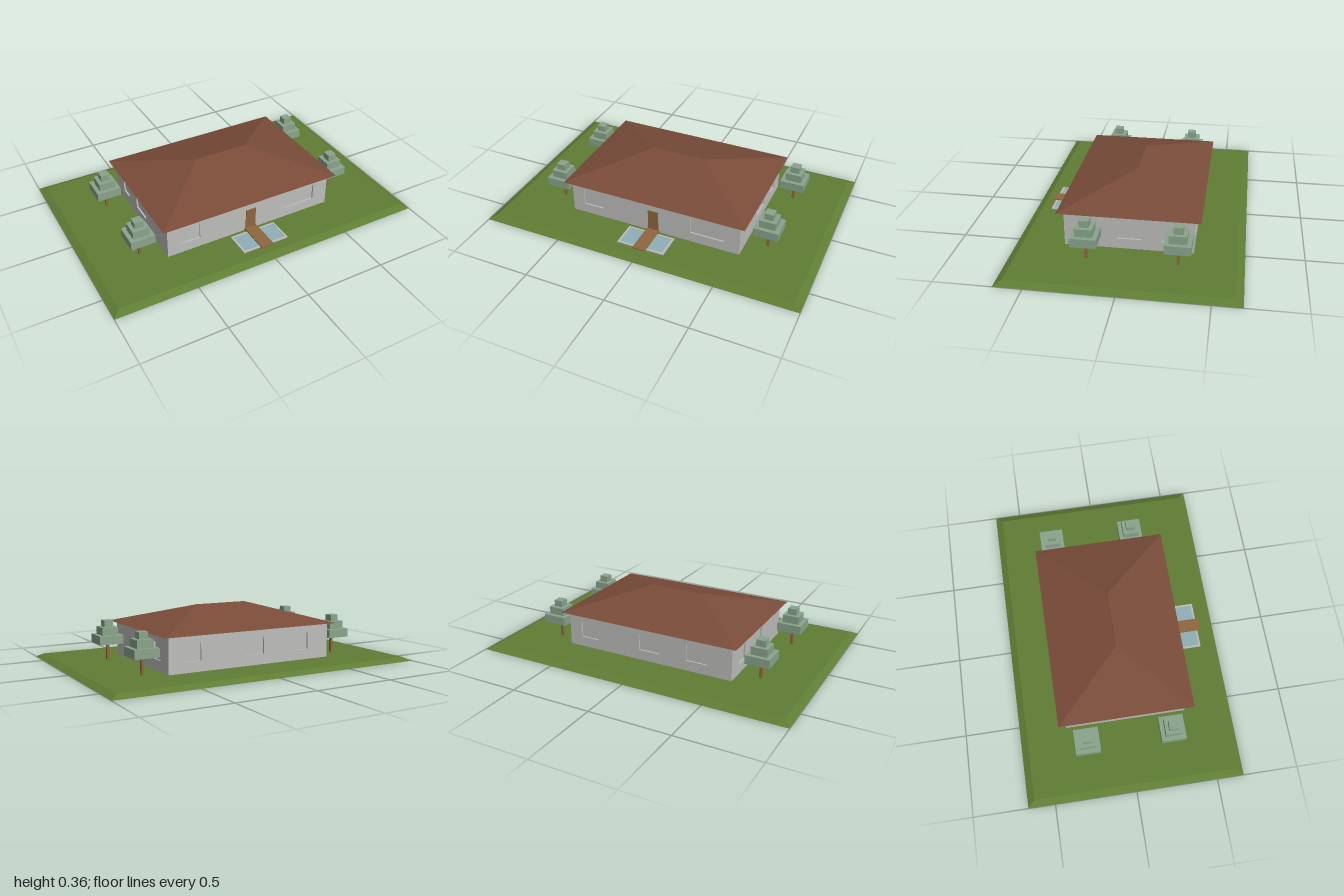
import * as THREE from 'three';

const mat = (name, color, extra = {}) => {
  const m = new THREE.MeshStandardMaterial({ color, ...extra });
  m.name = name;
  return m;
};

export function createModel() {
  const grass = mat('grass', 0x5f7d34);
  const wall = mat('wall grey', 0xbdbdbb);
  const roofTile = mat('roof brown', 0x7a4c39);
  const wood = mat('wood', 0x8f673f);
  const leaf = mat('leaf green', 0x8aa48c);
  const water = mat('water blue', 0x8fafb7);

  const model = new THREE.Group();
  model.name = 'houseAndGarden';
  const add = (name, geo, material, parent = model) => {
    const mesh = new THREE.Mesh(geo, material);
    mesh.name = name;
    parent.add(mesh);
    return mesh;
  };
  // Box given by its lower and upper corner
  const box = (name, x0, y0, z0, x1, y1, z1, material, parent) => {
    const mesh = add(name, new THREE.BoxGeometry(x1 - x0, y1 - y0, z1 - z0), material, parent);
    mesh.position.set((x0 + x1) / 2, (y0 + y1) / 2, (z0 + z1) / 2);
    return mesh;
  };
  // Box whose upper rectangle is shrunk, for bevelled lawn and hipped roof
  const taper = (bx, bz, tx, tz, y0, y1) => {
    const g = new THREE.BoxGeometry(2, 1, 2).toNonIndexed();
    const p = g.attributes.position;
    for (let i = 0; i < p.count; i++) {
      const up = p.getY(i) > 0;
      p.setXYZ(i, p.getX(i) * (up ? tx : bx), up ? y1 : y0, p.getZ(i) * (up ? tz : bz));
    }
    g.computeVertexNormals();
    // keep the box's face groups: 0 right, 1 left, 2 top, 3 bottom, 4 front, 5 back
    g.clearGroups();
    for (let f = 0; f < 6; f++) g.addGroup(f * 6, 6, f);
    return g;
  };

  // Lawn
  const G = 0.022;
  add('lawn', taper(1, 0.665, 0.957, 0.622, 0, G), Array(6).fill(grass));

  // House: solid core with wall panels that have shallow window recesses
  const house = new THREE.Group();
  house.name = 'house';
  model.add(house);
  const W = 0.55, D = 0.375, H = 0.24, T = 0.01;
  box('wallCore', -W + T, G, -D + T, W - T, H, D - T, wall, house);
  const panel = (name, half, windows, distance, angle) => {
    const s = new THREE.Shape();
    s.moveTo(-half, G).lineTo(half, G).lineTo(half, H).lineTo(-half, H).closePath();
    for (const [a, b] of windows) {
      const h = new THREE.Path();
      h.moveTo(a, 0.085).lineTo(a, 0.188).lineTo(b, 0.188).lineTo(b, 0.085).closePath();
      s.holes.push(h);
    }
    const g = new THREE.ExtrudeGeometry(s, { depth: T, bevelEnabled: false });
    g.translate(0, 0, distance - T).rotateY(angle);
    add(name, g, wall, house);
  };
  const sideD = D - T;
  panel('frontWall', W, [[-0.47, -0.34], [0.24, 0.45]], D, 0);
  panel('backWall', W, [[-0.465, -0.345], [-0.055, 0.08], [0.26, 0.4]], D, Math.PI);
  panel('leftWall', sideD, [[-0.07, 0.07], [0.185, 0.27]], W, Math.PI / 2);
  panel('rightWall', sideD, [[-0.27, -0.185], [-0.07, 0.07]], W, -Math.PI / 2);

  // Hipped roof with a grey soffit
  add('roof', taper(0.587, 0.413, 0.172, 0.0005, 0.237, 0.358),
    [roofTile, roofTile, roofTile, wall, roofTile, roofTile], house);
  box('door', -0.033, G, D - 0.005, 0.033, 0.168, D + 0.005, wood, house);

  // Pond with rim and a plank bridge to the door
  const pond = new THREE.Group();
  pond.name = 'pond';
  model.add(pond);
  const px = 0.15, z0 = 0.4, z1 = 0.56, r = 0.012;
  for (const s of [-1, 1]) {
    const x = s * (px - r / 2);
    box('pondSideRim', x - r / 2, G, z0, x + r / 2, 0.029, z1, wall, pond);
  }
  box('pondFrontRim', -px + r, G, z1 - r, px - r, 0.029, z1, wall, pond);
  box('pondBackRim', -px + r, G, z0, px - r, 0.029, z0 + r, wall, pond);
  box('water', -px + r, G, z0 + r, px - r, 0.026, z1 - r, water, pond);
  box('bridge', -0.04, 0.03, D, 0.04, 0.037, 0.58, wood, pond);
  box('bridgeStep', -0.04, G, D, 0.04, 0.03, 0.4, wood, pond);

  // Trees: trunk and three stacked blocks of leaves
  const layers = [[0.15, 0.127, 0.18], [0.1, 0.18, 0.228], [0.055, 0.228, 0.268]];
  for (const [x, z] of [[-0.68, -0.256], [-0.68, 0.264], [0.675, -0.297], [0.675, 0.224]]) {
    const tree = new THREE.Group();
    tree.name = 'tree';
    tree.position.set(x, 0, z);
    model.add(tree);
    box('trunk', -0.008, G, -0.008, 0.008, 0.13, 0.008, wood, tree);
    for (const [w, a, b] of layers) box('foliage', -w / 2, a, -w / 2, w / 2, b, w / 2, leaf, tree);
  }
  return model;
}
